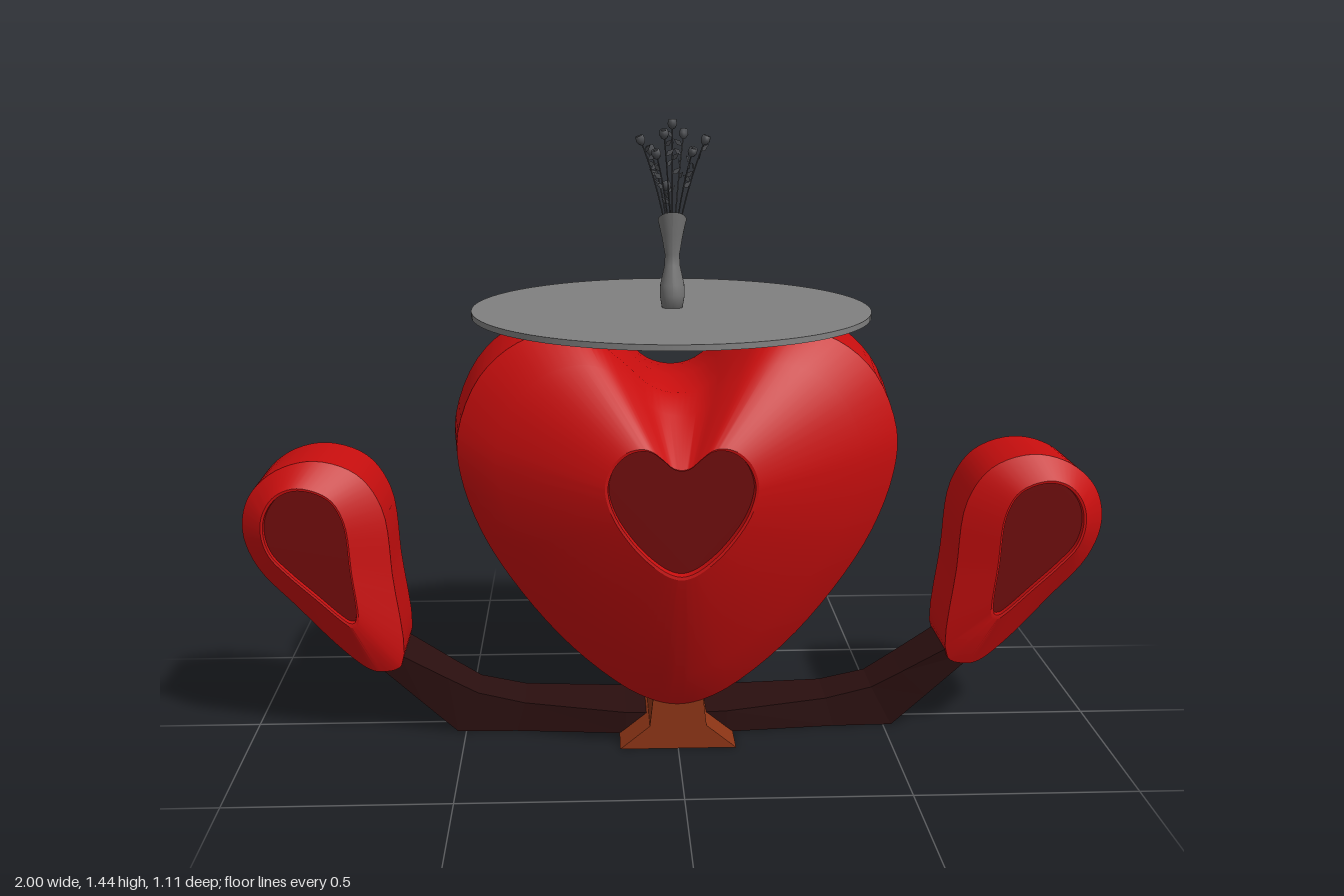
import * as THREE from 'three';
import { toCreasedNormals } from 'three/addons/utils/BufferGeometryUtils.js';

const mat = (color, extra = {}) => new THREE.MeshStandardMaterial({ color, ...extra });
const RED = mat(0xc80e0e);
const INSET = mat(0x6e0a0a, { side: THREE.DoubleSide });
const ARM = mat(0x2a0f0f, { flatShading: true });
const BASE = mat(0x8c3415, { flatShading: true });
const GREY = mat(0x808080);
const VASE = mat(0x777777, { side: THREE.DoubleSide });
const PLANT = mat(0x4a4c50, { side: THREE.DoubleSide });

function add(parent, name, geometry, material) {
  const mesh = new THREE.Mesh(geometry, material);
  mesh.name = name;
  parent.add(mesh);
  return mesh;
}

// Closed smooth outline through [x, y] pairs
function outline(pairs, n) {
  const curve = new THREE.CatmullRomCurve3(
    pairs.map(([x, y]) => new THREE.Vector3(x, y, 0)), true, 'centripetal');
  return Array.from({ length: n }, (_, i) => curve.getPoint(i / n));
}

// Skin a list of equal-length rings, optionally closing both ends
function loft(rings, capped = false) {
  const pos = [], n = rings[0].length;
  const tri = (...pts) => pts.forEach(p => pos.push(p.x, p.y, p.z));
  for (let r = 0; r < rings.length - 1; r++) {
    const a = rings[r], b = rings[r + 1];
    for (let i = 0; i < n; i++) {
      const j = (i + 1) % n;
      tri(a[i], a[j], b[j]);
      tri(a[i], b[j], b[i]);
    }
  }
  if (capped) {
    const first = rings[0], last = rings[rings.length - 1];
    for (let i = 1; i < n - 1; i++) {
      tri(first[0], first[i + 1], first[i]);
      tri(last[0], last[i], last[i + 1]);
    }
  }
  const g = new THREE.BufferGeometry();
  g.setAttribute('position', new THREE.Float32BufferAttribute(pos, 3));
  g.computeVertexNormals();
  return g;
}

// Bevelled body symmetric in z with a recessed panel on both faces;
// ringAt(k) shapes the outline, levels run from the middle outwards as [z, k]
function bevelledBody(parent, name, levels, ringAt) {
  const all = [...levels.slice(1).reverse().map(([z, k]) => [-z, k]), ...levels];
  const rings = all.map(([z, k]) => ringAt(k).map(p => new THREE.Vector3(p.x, p.y, z)));
  add(parent, name, toCreasedNormals(loft(rings), 0.5), RED);
  const [z, k] = levels[levels.length - 1];
  const panel = new THREE.ShapeGeometry(new THREE.Shape(ringAt(k).map(p => new THREE.Vector2(p.x, p.y))));
  for (const s of [1, -1]) add(parent, name + 'Inset', panel, INSET).position.z = s * z;
}

function heart(root) {
  const half = [[0.06, 0.865], [0.13, 0.925], [0.2, 0.978], [0.27, 0.995], [0.37, 0.97],
    [0.46, 0.89], [0.512, 0.76], [0.508, 0.66], [0.46, 0.52], [0.37, 0.375],
    [0.25, 0.235], [0.12, 0.13], [0.05, 0.098]];
  const pts = outline([[0, 0.85], ...half.map(([x, y]) => [-x, y]), [0, 0.09], ...half.slice().reverse()], 112);
  const cy = 0.634;
  bevelledBody(root, 'heart',
    [[0, 1], [0.2, 0.965], [0.27, 0.79], [0.375, 0.325], [0.374, 0.312], [0.352, 0.308]],
    k => pts.map(p => new THREE.Vector3(p.x * k, cy + (p.y - cy) * k, 0)));
}

// Curved arm ending in a teardrop seat, built towards +x
function armAndSeat() {
  const g = new THREE.Group();
  // bottom x, bottom y, top x, top y, half depth
  const sections = [[0.03, 0, 0.03, 0.05, 0.1], [0.12, 0, 0.12, 0.052, 0.098], [0.38, 0, 0.36, 0.07, 0.07],
    [0.52, 0, 0.47, 0.095, 0.066], [0.6, 0.075, 0.54, 0.135, 0.075], [0.72, 0.19, 0.65, 0.2, 0.09]];
  add(g, 'arm', loft(sections.map(([xb, yb, xt, yt, w]) => [
    new THREE.Vector3(xb, yb, -w), new THREE.Vector3(xt, yt, -w),
    new THREE.Vector3(xt, yt, w), new THREE.Vector3(xb, yb, w)]), true), ARM);

  const outer = outline([[0.645, 0.18], [0.66, 0.4], [0.68, 0.56], [0.735, 0.64], [0.83, 0.672], [0.92, 0.65],
    [0.983, 0.59], [1, 0.51], [0.97, 0.425], [0.88, 0.325], [0.78, 0.22], [0.72, 0.172], [0.69, 0.165]].reverse(), 65);
  const inner = outline([[0.738, 0.29], [0.748, 0.42], [0.762, 0.54], [0.795, 0.595], [0.865, 0.619], [0.915, 0.602],
    [0.945, 0.56], [0.951, 0.51], [0.935, 0.46], [0.895, 0.415], [0.83, 0.355], [0.77, 0.3], [0.75, 0.287]].reverse(), 65);
  const mid = new THREE.Vector3(0.84, 0.5, 0);
  // k 0..1 blends outer to inner, beyond 1 shrinks the inner outline
  bevelledBody(g, 'seat', [[0, 0], [0.105, 0], [0.15, 1], [0.149, 1.05], [0.135, 1.06]],
    k => inner.map((p, i) => k <= 1 ? outer[i].clone().lerp(p, k) : p.clone().lerp(mid, k - 1)));
  return g;
}

function vaseAndFlowers(root) {
  const g = new THREE.Group();
  g.name = 'vaseWithFlowers';
  g.position.set(-0.005, 1.006, 0);
  root.add(g);

  // Vase with a slanted lip
  const profile = [[0, 0], [0.024, 0], [0.029, 0.03], [0.028, 0.055], [0.018, 0.1], [0.017, 0.125],
    [0.024, 0.165], [0.033, 0.205]].map(p => new THREE.Vector2(...p));
  const vase = new THREE.LatheGeometry(profile, 24);
  const p = vase.attributes.position;
  for (let i = 0; i < p.count; i++) {
    const t = Math.max(0, (p.getY(i) - 0.12) / 0.085);
    p.setY(i, p.getY(i) + t * p.getZ(i) * 0.6);
  }
  vase.computeVertexNormals();
  add(g, 'vase', vase, VASE);

  // Flower tips as x, y, z
  const tips = [[0, 0.41, 0.005], [-0.068, 0.375, 0.02], [0.07, 0.375, 0.015], [-0.035, 0.345, 0.045],
    [0.028, 0.385, -0.07], [0.04, 0.35, 0.05], [-0.02, 0.39, 0.06], [-0.01, 0.27, -0.005], [-0.045, 0.35, -0.03]];
  const bud = new THREE.LatheGeometry([[0, 0], [0.007, 0.004], [0.011, 0.013], [0.009, 0.024], [0.004, 0.022]]
    .map(q => new THREE.Vector2(...q)), 8);
  const leaf = new THREE.ShapeGeometry(new THREE.Shape([[0, 0], [0.006, 0.01], [0, 0.026], [-0.006, 0.01]]
    .map(q => new THREE.Vector2(...q))));
  tips.forEach(([x, y, z], k) => {
    const tip = new THREE.Vector3(x, y, z);
    const stem = new THREE.QuadraticBezierCurve3(
      new THREE.Vector3(0, 0.08, 0), new THREE.Vector3(x * 0.25, 0.24, z * 0.25), tip);
    add(g, 'stem', new THREE.TubeGeometry(stem, 8, 0.0017, 5), PLANT);
    const flower = add(g, 'flower', bud, PLANT);
    flower.position.copy(tip);
    flower.quaternion.setFromUnitVectors(new THREE.Vector3(0, 1, 0), stem.getTangent(1));
    [0.7, 0.8, 0.88, 0.95].forEach((t, i) => {
      const blade = add(g, 'leaf', leaf, PLANT);
      blade.position.copy(stem.getPoint(t));
      blade.rotation.set(0, k * 1.3 + i * 2.4, i % 2 ? 0.9 : -0.9, 'YXZ');
    });
  });
}

export function createModel() {
  const root = new THREE.Group();
  root.name = 'heartTable';

  // Flared foot below the heart
  const foot = new THREE.Shape([[-0.135, 0], [0.135, 0], [0.066, 0.055], [0.058, 0.125], [-0.058, 0.125], [-0.066, 0.055]]
    .map(q => new THREE.Vector2(...q)));
  add(root, 'foot', new THREE.ExtrudeGeometry(foot, { depth: 0.4, bevelEnabled: false }).translate(0, 0, -0.2), BASE);

  heart(root);

  // The two sides mirror each other
  const left = armAndSeat(), right = armAndSeat();
  left.name = 'leftSeatArm';
  right.name = 'rightSeatArm';
  right.rotation.y = Math.PI;
  root.add(left, right);

  // Oval top
  const top = add(root, 'tableTop', new THREE.CylinderGeometry(1, 1, 0.013, 96), GREY);
  top.scale.set(0.462, 1, 0.556);
  top.position.set(-0.008, 1.001, 0);

  vaseAndFlowers(root);
  return root;
}
